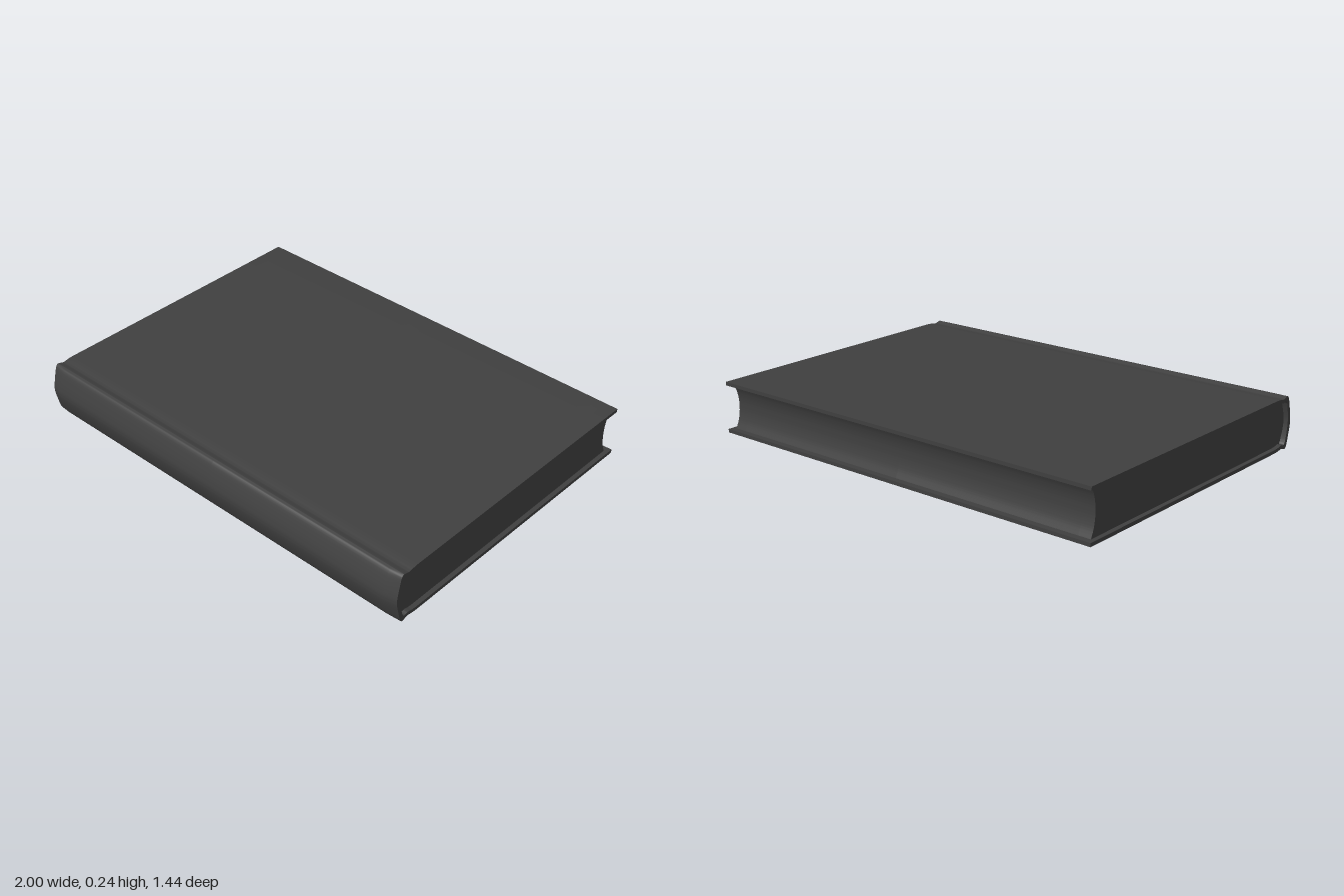
import * as THREE from 'three';
import { toCreasedNormals } from 'three/addons/utils/BufferGeometryUtils.js';

const MID = 0.118; // half the height of the book
const material = new THREE.MeshStandardMaterial({ color: 0x404040 });

// Upper half of a [z, y] profile, smoothed and mirrored about mid height
function mirroredCurve(upper) {
  const lower = upper.slice(0, -1).reverse().map(([z, y]) => [z, 2 * MID - y]);
  const points = [...upper, ...lower].map(([z, y]) => new THREE.Vector2(z, y));
  return new THREE.SplineCurve(points).getPoints(56);
}

// Extrude a z-y outline along x, drawing the spine in slightly at both ends
function extrudeAlongX(outline, halfLength, taper) {
  let geometry = new THREE.ExtrudeGeometry(new THREE.Shape(outline), {
    depth: 2, steps: 4, bevelEnabled: false,
  });
  geometry.translate(0, 0, -1);
  geometry.rotateY(-Math.PI / 2);
  const p = geometry.attributes.position;
  for (let i = 0; i < p.count; i++) {
    const x = p.getX(i), z = p.getZ(i);
    const end = Math.abs(x) > 0.9;
    const along = end ? 1 : Math.abs(x) > 0.25 ? 0.94 : 0;
    p.setX(i, Math.sign(x) * along * halfLength);
    if (end && z > 0.67) p.setZ(i, z - taper * Math.min(1, (z - 0.67) / 0.04));
  }
  geometry = toCreasedNormals(geometry, 0.6);
  return geometry;
}

function addPart(group, name, geometry) {
  const mesh = new THREE.Mesh(geometry, material);
  mesh.name = name;
  group.add(mesh);
}

export function createModel() {
  const book = new THREE.Group();
  book.name = 'book';
  const v = (z, y) => new THREE.Vector2(z, y);

  // Case: two boards joined by hinge grooves and a rounded spine
  const outer = mirroredCurve([
    [0.59, 0.235], [0.615, 0.233], [0.64, 0.229], [0.66, 0.234], [0.675, 0.236],
    [0.69, 0.223], [0.706, 0.18], [0.715, 0.145], [0.718, MID],
  ]);
  const inner = mirroredCurve([
    [0.59, 0.219], [0.615, 0.217], [0.64, 0.212], [0.655, 0.216], [0.665, 0.214],
    [0.676, 0.192], [0.688, 0.15], [0.692, MID],
  ]).reverse();
  const caseOutline = [
    v(-0.72, 0.235), ...outer, v(-0.72, 0.001),
    v(-0.72, 0.017), ...inner, v(-0.72, 0.219),
  ];
  addPart(book, 'cover', extrudeAlongX(caseOutline, 1, 0.012));

  // Page block: rounded back and hollow fore edge
  const back = mirroredCurve([
    [0.59, 0.22], [0.615, 0.219], [0.64, 0.213], [0.655, 0.214],
    [0.667, 0.19], [0.68, 0.15], [0.684, MID],
  ]);
  const foreEdge = mirroredCurve([
    [-0.692, 0.22], [-0.677, 0.185], [-0.669, 0.15], [-0.667, MID],
  ]).reverse();
  addPart(book, 'pages', extrudeAlongX([...back, ...foreEdge], 0.98, 0));

  // Stand the book on the ground
  book.children.forEach((mesh) => mesh.geometry.computeBoundingBox());
  const base = book.children[0].geometry.boundingBox.min.y;
  book.children.forEach((mesh) => mesh.geometry.translate(0, -base, 0));
  return book;
}
